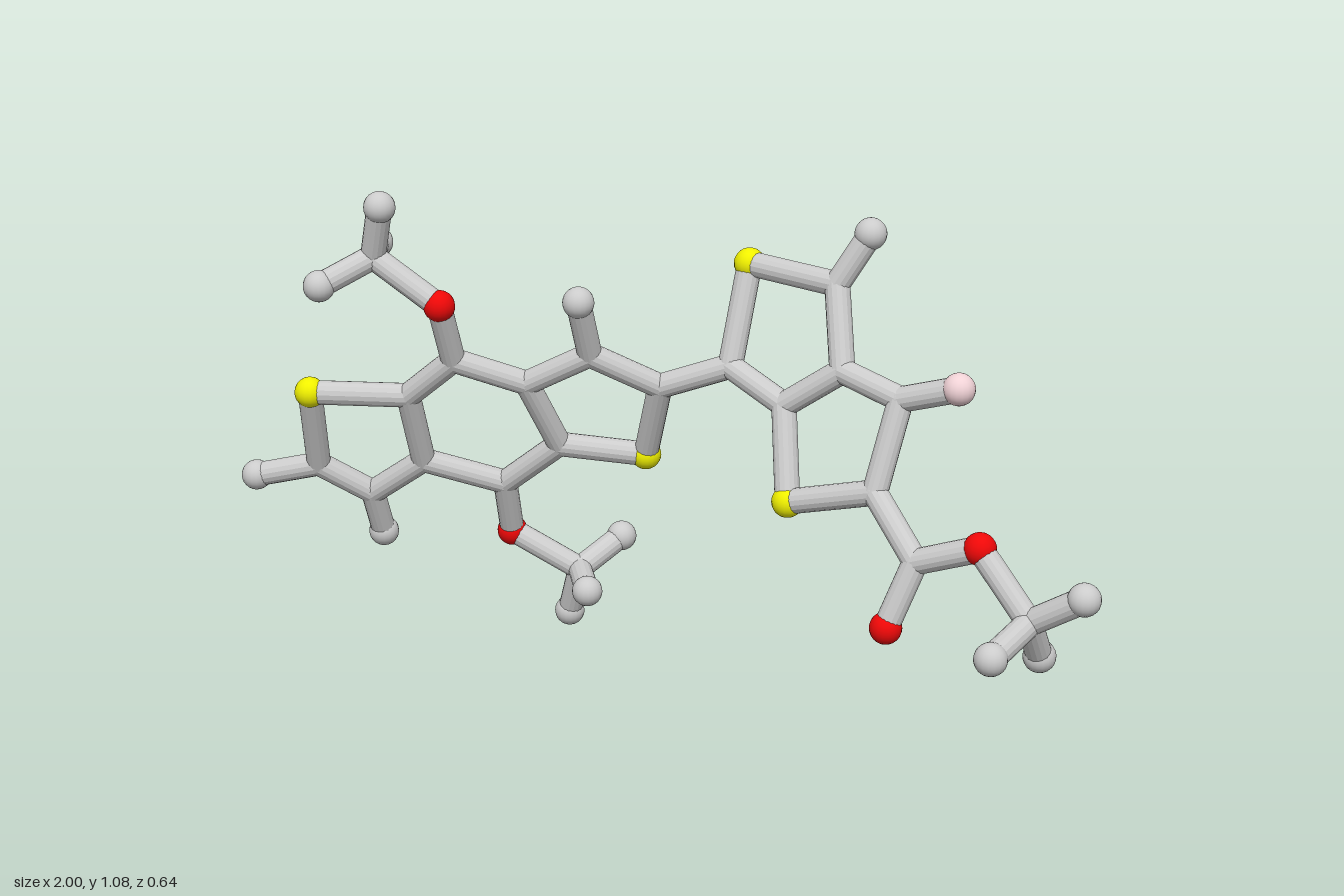
import * as THREE from 'three';

const BOND_RADIUS = 0.027;
const BALL_RADIUS = 0.034;

// Atom kinds: colour and radius (carbon is just a rounded joint between sticks)
const KINDS = {
  carbon: { color: 0xcccccc, radius: BOND_RADIUS },
  hydrogen: { color: 0xcccccc, radius: BALL_RADIUS },
  sulfur: { color: 0xf0f000, radius: BALL_RADIUS },
  oxygen: { color: 0xee0808, radius: BALL_RADIUS },
  fluorine: { color: 0xf0d2d6, radius: BALL_RADIUS },
};
const LETTERS = { C: 'carbon', H: 'hydrogen', S: 'sulfur', O: 'oxygen', F: 'fluorine' };

// The two fused ring systems are flat, each lying in its own tilted plane
const leftPlane = (x, y) => -0.434 - 0.343 * x + 0.49 * y;
const rightPlane = (x, y) => 0.088 + 0.25 * x - 0.328 * y;

// Atoms as [x, y], with z taken from the plane; the first letter is the kind
const LEFT_RINGS = {
  S1: [-0.79, 0.607], C2: [-0.826, 0.412], C3: [-0.73, 0.337], C4: [-0.597, 0.43],
  C5: [-0.585, 0.605], C6: [-0.468, 0.7], C7: [-0.33, 0.645], C8: [-0.297, 0.484],
  C9: [-0.436, 0.375], S10: [-0.12, 0.463], C11: [-0.056, 0.645], C12: [-0.184, 0.722],
  H2: [-0.97, 0.377], H3: [-0.735, 0.226], H12: [-0.18, 0.853],
  O6: [-0.463, 0.837], O9: [-0.452, 0.238],
};
const RIGHT_RINGS = {
  C21: [0.099, 0.703], S22: [0.115, 0.915], C23: [0.334, 0.906], C24: [0.372, 0.74],
  C25: [0.243, 0.65], S26: [0.281, 0.463], C27: [0.484, 0.521], C28: [0.516, 0.709],
  H23: [0.398, 1.015], F28: [0.644, 0.751], C29: [0.596, 0.409],
  O30: [0.548, 0.27], O31: [0.735, 0.463],
};
// Three methyl ends, as [x, y, z]
const METHYLS = {
  C40: [-0.612, 0.932, 0.148], H41: [-0.575, 1.049, 0.178],
  H42: [-0.693, 0.881, 0.238], H43: [-0.67, 0.932, 0.026],
  C50: [-0.297, 0.158, -0.192], H51: [-0.34, 0.037, -0.226],
  H52: [-0.236, 0.214, -0.288], H53: [-0.228, 0.151, -0.085],
  C60: [0.853, 0.338, 0.157], H61: [0.965, 0.41, 0.174],
  H62: [0.815, 0.304, 0.289], H63: [0.858, 0.242, 0.089],
};

// Chains of bonded atoms
const CHAINS = {
  leftRingBond: ['S1 C2 C3 C4 C5 S1', 'C5 C6 C7 C8 C9 C4', 'C8 S10 C11 C12 C7',
    'C2 H2', 'C3 H3', 'C12 H12'],
  linkBond: ['C11 C21'],
  rightRingBond: ['C21 S22 C23 C24 C25 C21', 'C25 S26 C27 C28 C24', 'C23 H23', 'C28 F28'],
  upperSideChainBond: ['C6 O6 C40 H41', 'H42 C40 H43'],
  lowerSideChainBond: ['C9 O9 C50 H51', 'H52 C50 H53'],
  endChainBond: ['C27 C29 O31 C60 H61', 'C29 O30', 'H62 C60 H63'],
};

export function createModel() {
  const model = new THREE.Group();
  model.name = 'ballAndStickMolecule';

  const points = {};
  const place = (table, plane) => {
    for (const [id, [x, y, z]] of Object.entries(table)) {
      points[id] = new THREE.Vector3(x, y, plane ? plane(x, y) : z);
    }
  };
  place(LEFT_RINGS, leftPlane);
  place(RIGHT_RINGS, rightPlane);
  place(METHYLS);

  // Balls
  const sphere = new THREE.SphereGeometry(1, 18, 14);
  const materials = {};
  for (const [kind, { color }] of Object.entries(KINDS)) {
    materials[kind] = new THREE.MeshStandardMaterial({ color });
  }
  const atoms = new THREE.Group();
  atoms.name = 'atoms';
  for (const [id, point] of Object.entries(points)) {
    const kind = LETTERS[id[0]];
    const ball = new THREE.Mesh(sphere, materials[kind]);
    ball.name = kind + 'Atom';
    ball.position.copy(point);
    ball.scale.setScalar(KINDS[kind].radius);
    atoms.add(ball);
  }

  // Sticks
  const stick = new THREE.CylinderGeometry(BOND_RADIUS, BOND_RADIUS, 1, 16, 1, true);
  const stickMaterial = new THREE.MeshStandardMaterial({ color: 0xcccccc, flatShading: true });
  const up = new THREE.Vector3(0, 1, 0);
  const bonds = new THREE.Group();
  bonds.name = 'bonds';
  for (const [name, chains] of Object.entries(CHAINS)) {
    for (const chain of chains) {
      const ids = chain.split(' ');
      for (let i = 1; i < ids.length; i++) {
        const a = points[ids[i - 1]];
        const b = points[ids[i]];
        const along = b.clone().sub(a);
        const bond = new THREE.Mesh(stick, stickMaterial);
        bond.name = name;
        bond.position.copy(a).lerp(b, 0.5);
        bond.scale.y = along.length();
        bond.quaternion.setFromUnitVectors(up, along.normalize());
        bonds.add(bond);
      }
    }
  }

  model.add(atoms, bonds);
  return model;
}
